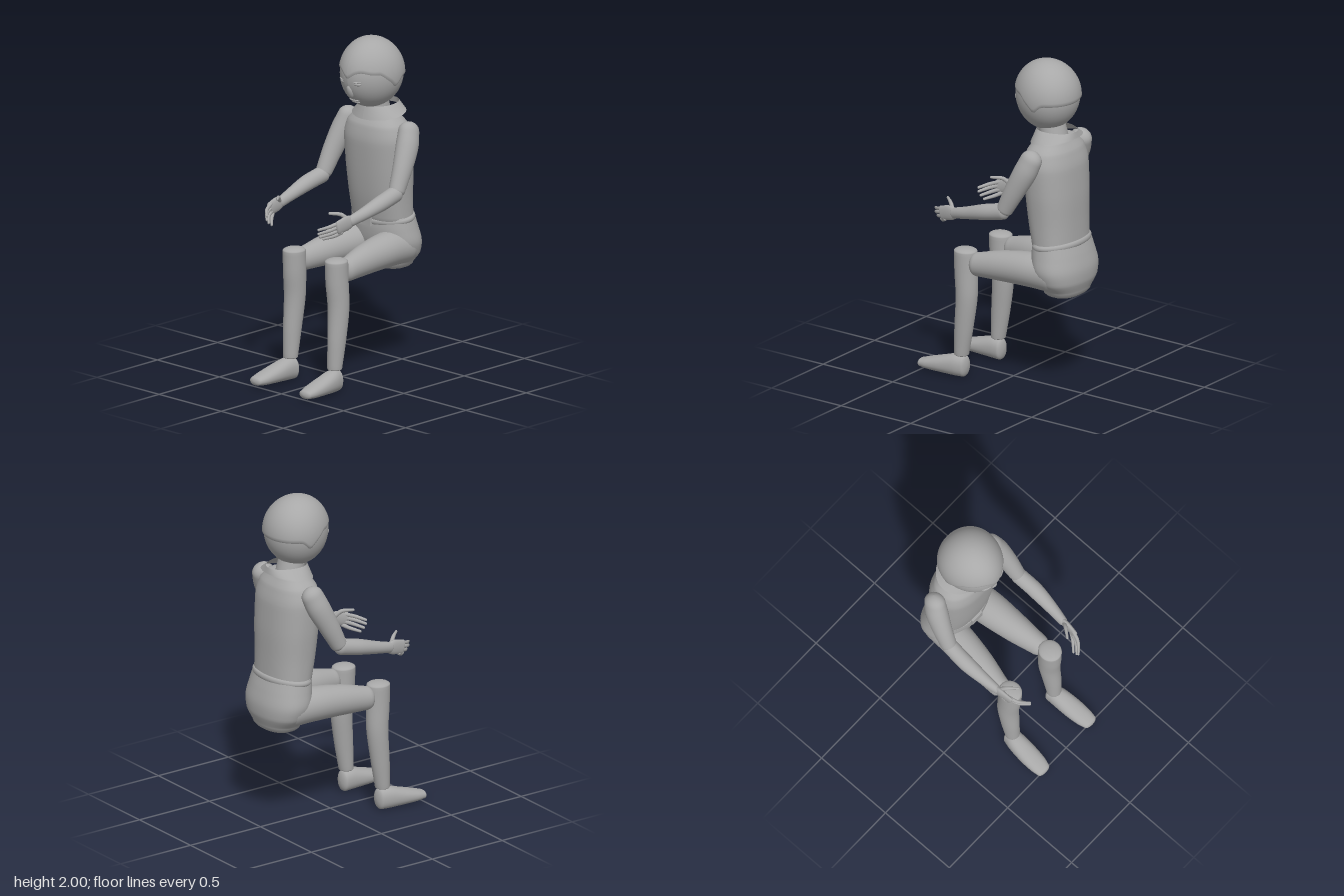
import * as THREE from 'three';

const grey = new THREE.MeshStandardMaterial({ color: 0xa8a8a8, side: THREE.DoubleSide });
grey.name = 'plain grey';
const X = new THREE.Vector3(1, 0, 0);

// Smooth body through elliptical sections [x, y, z, halfWidth, halfDepth].
// axis: fixed ring normal (otherwise follows the path); cap: roundness of both ends; pow < 1 is boxier.
function loft(secs, { axis = null, cap = [1, 1], pow = 1, seg = 32, steps = 6 } = {}) {
  const path = new THREE.CatmullRomCurve3(secs.map(s => new THREE.Vector3(s[0], s[1], s[2])));
  const size = new THREE.CatmullRomCurve3(secs.map(s => new THREE.Vector3(s[3], s[4], 0)));
  const n = (secs.length - 1) * steps, rings = [];
  const ring = (t, push, k) => {
    const r = size.getPoint(t);
    const dir = axis ? axis.clone() : path.getTangent(t);
    const c = path.getPoint(t).addScaledVector(dir, push * Math.min(r.x, r.y));
    rings.push({ c, dir, a: r.x * k, b: r.y * k });
  };
  for (let i = 0; i < 6; i++) { const q = i / 6 * Math.PI / 2; ring(0, -cap[0] * Math.cos(q), Math.sin(q)); }
  for (let i = 0; i <= n; i++) ring(i / n, 0, 1);
  for (let i = 1; i <= 6; i++) { const q = i / 6 * Math.PI / 2; ring(1, cap[1] * Math.sin(q), Math.cos(q)); }
  const pos = [], idx = [];
  const bend = v => Math.sign(v) * Math.abs(v) ** pow;
  rings.forEach(({ c, dir, a, b }, i) => {
    const u = X.clone().addScaledVector(dir, -X.dot(dir)).normalize();
    const v = dir.clone().cross(u);
    for (let j = 0; j < seg; j++) {
      const w = j / seg * Math.PI * 2;
      const p = c.clone().addScaledVector(u, a * bend(Math.cos(w))).addScaledVector(v, b * bend(Math.sin(w)));
      pos.push(p.x, p.y, p.z);
      if (i === rings.length - 1) continue;
      const k = (j + 1) % seg, o = i * seg;
      idx.push(o + j, o + k, o + seg + j, o + k, o + seg + k, o + seg + j);
    }
  });
  const g = new THREE.BufferGeometry();
  g.setAttribute('position', new THREE.Float32BufferAttribute(pos, 3));
  g.setIndex(idx);
  g.computeVertexNormals();
  return g;
}

// Egg-shaped head surface point: around = 0 faces front, down = 0 at the crown.
function headPoint(around, down, grow) {
  const f = Math.cos(around) * Math.sin(down);
  return new THREE.Vector3(
    (0.178 + grow) * Math.sin(around) * Math.sin(down) * (1 - 0.1 * f),
    1.79 + (0.205 + grow) * Math.cos(down),
    -0.24 + (0.193 + grow) * f);
}

// Grid surface from a function of (u, v) in 0..1.
function sheet(fn, nu, nv) {
  const g = new THREE.PlaneGeometry(1, 1, nu, nv), p = g.attributes.position, uv = g.attributes.uv;
  for (let i = 0; i < p.count; i++) {
    const q = fn(uv.getX(i), 1 - uv.getY(i));
    p.setXYZ(i, q.x, q.y, q.z);
  }
  g.computeVertexNormals();
  return g;
}

export function createModel() {
  const model = new THREE.Group();
  model.name = 'seatedFigure';
  const add = (name, geo, parent = model) => {
    const m = new THREE.Mesh(geo, grey);
    m.name = name;
    parent.add(m);
    return m;
  };
  const up = new THREE.Vector3(0, 1, 0), ahead = new THREE.Vector3(0, 0, 1);

  // Trunk
  add('torso', loft([
    [0, 0.91, -0.34, 0.2, 0.13], [0, 1.05, -0.325, 0.205, 0.142], [0, 1.22, -0.315, 0.217, 0.15],
    [0, 1.38, -0.305, 0.222, 0.15], [0, 1.48, -0.3, 0.198, 0.13], [0, 1.53, -0.3, 0.15, 0.1],
  ], { axis: up, cap: [0, 0.25], pow: 0.85, seg: 48 }));
  add('pelvis', loft([
    [0, 0.64, -0.385, 0.165, 0.115], [0, 0.7, -0.385, 0.215, 0.135], [0, 0.78, -0.37, 0.235, 0.15],
    [0, 0.86, -0.355, 0.222, 0.145], [0, 0.93, -0.345, 0.208, 0.132],
  ], { axis: up, cap: [0.48, 0], pow: 0.9, seg: 48 }));
  add('neck', loft([[0, 1.48, -0.3, 0.12, 0.1], [0, 1.55, -0.29, 0.085, 0.082], [0, 1.66, -0.265, 0.078, 0.078]], { axis: up }));

  // Belt and buckle
  const belt = add('belt', new THREE.TorusGeometry(1, 0.075, 10, 56));
  belt.geometry.rotateX(Math.PI / 2).scale(0.203, 0.24, 0.133);
  belt.position.set(0, 0.915, -0.345);
  belt.rotation.x = 0.12;
  add('buckle', new THREE.BoxGeometry(0.08, 0.055, 0.025)).position.set(0, 0.902, -0.205);

  // Sloping collar, higher at the back
  add('collar', sheet((u, v) => {
    const a = u * Math.PI * 2, c = Math.cos(a), s = Math.sin(a);
    const low = new THREE.Vector3(0.172 * s, 1.54 - 0.022 * c, -0.31 + 0.14 * c);
    const high = new THREE.Vector3(0.105 * s, 1.597, -0.292 + 0.1 * c);
    if (c < 0) high.z += 0.05 * c;
    return low.lerp(high, v);
  }, 48, 3));

  // Head
  const head = new THREE.Group();
  head.name = 'head';
  model.add(head);
  add('skull', sheet((u, v) => headPoint(u * Math.PI * 2, v * Math.PI, 0), 48, 32), head);
  const hem = a => {
    const d = Math.abs(a > Math.PI ? a - Math.PI * 2 : a);
    const bump = (at, w) => Math.exp(-(((d - at) / w) ** 2));
    return 1.45 + 0.2 * THREE.MathUtils.smoothstep(d, 1.1, 1.5) + 0.14 * bump(0, 0.2) - 0.06 * bump(0.55, 0.25) + 0.22 * bump(1.72, 0.18);
  };
  add('hair', sheet((u, v) => {
    const a = u * Math.PI * 2;
    const edge = THREE.MathUtils.smoothstep(v, 0.96, 1);
    return headPoint(a, v * hem(a), 0.008 * (1 - 0.9 * edge));
  }, 96, 28), head);

  // Small facial relief
  const blob = (name, a, d, sx, sy, sz) => {
    const m = add(name, new THREE.SphereGeometry(1, 16, 10), head);
    m.scale.set(sx, sy, sz);
    m.position.copy(headPoint(a, d, -0.003));
    m.rotation.set(Math.max(0, d - Math.PI / 2) * 0.8, a, 0, 'YXZ');
  };
  blob('nose', 0, 2.02, 0.022, 0.042, 0.016);
  blob('upperLip', 0, 2.36, 0.04, 0.008, 0.01);
  blob('lowerLip', 0, 2.45, 0.034, 0.008, 0.01);

  for (const s of [1, -1]) {
    const side = s > 0 ? 'left' : 'right';
    blob(side + 'Eye', s * 0.4, 1.73, 0.024, 0.009, 0.008);
    blob(side + 'Eyelid', s * 0.4, 1.67, 0.03, 0.005, 0.008);

    // Leg
    const leg = new THREE.Group();
    leg.name = side + 'Leg';
    model.add(leg);
    add('thigh', loft([
      [s * 0.125, 0.745, -0.37, 0.105, 0.105], [s * 0.135, 0.747, -0.22, 0.103, 0.103],
      [s * 0.152, 0.732, -0.02, 0.084, 0.09], [s * 0.17, 0.712, 0.13, 0.062, 0.072],
    ], { axis: ahead, cap: [0.8, 0.8] }), leg);
    add('shin', loft([
      [s * 0.178, 0.14, 0.242, 0.044, 0.043], [s * 0.179, 0.3, 0.226, 0.052, 0.057],
      [s * 0.176, 0.5, 0.208, 0.061, 0.066], [s * 0.171, 0.65, 0.215, 0.064, 0.071],
      [s * 0.17, 0.775, 0.219, 0.065, 0.071],
    ], { axis: up, cap: [0.3, 0.33] }), leg);
    add('foot', loft([
      [s * 0.178, 0.068, 0.225, 0.048, 0.064], [s * 0.184, 0.07, 0.27, 0.055, 0.066],
      [s * 0.191, 0.058, 0.37, 0.06, 0.051], [s * 0.196, 0.046, 0.46, 0.055, 0.036],
      [s * 0.199, 0.041, 0.505, 0.045, 0.026],
    ], { axis: ahead, cap: [0.5, 0.75], pow: 0.9 }), leg);

    // Arm
    const arm = new THREE.Group();
    arm.name = side + 'Arm';
    model.add(arm);
    add('upperArm', loft([
      [s * 0.243, 1.465, -0.305, 0.058, 0.066], [s * 0.26, 1.39, -0.275, 0.064, 0.07],
      [s * 0.281, 1.27, -0.215, 0.056, 0.062], [s * 0.293, 1.15, -0.155, 0.047, 0.05],
    ], { cap: [1, 0.7] }), arm);
    add('forearm', loft([
      [s * 0.294, 1.132, -0.14, 0.047, 0.049], [s * 0.3, 1.104, -0.02, 0.047, 0.047],
      [s * 0.293, 1.066, 0.12, 0.036, 0.037], [s * 0.283, 1.04, 0.22, 0.025, 0.032],
    ], { cap: [0.8, 0.6] }), arm);

    // Hand: flat palm, four fingers curling inward, thumb
    add('palm', loft([
      [s * 0.283, 1.042, 0.2, 0.02, 0.03], [s * 0.282, 1.035, 0.25, 0.017, 0.045],
      [s * 0.276, 1.02, 0.315, 0.014, 0.042],
    ], { seg: 20, cap: [0.6, 0.9] }), arm);
    const tips = [[1.012, 0.415], [0.988, 0.415], [0.967, 0.4], [0.95, 0.375]];
    tips.forEach(([y, z], i) => {
      const y0 = 1.05 - i * 0.021;
      add('finger' + (i + 1), loft([
        [s * 0.277, y0, 0.3 - i * 0.004, 0.011, 0.012], [s * 0.254, (y0 + y) / 2, z - 0.055, 0.01, 0.011],
        [s * 0.208, y, z - 0.008, 0.007, 0.008],
      ], { seg: 12, steps: 5 }), arm);
    });
    add('thumb', loft([
      [s * 0.275, 1.055, 0.235, 0.013, 0.014], [s * 0.253, 1.085, 0.265, 0.011, 0.012],
      [s * 0.21, 1.094, 0.318, 0.007, 0.008],
    ], { seg: 12, steps: 5 }), arm);
  }
  return model;
}
